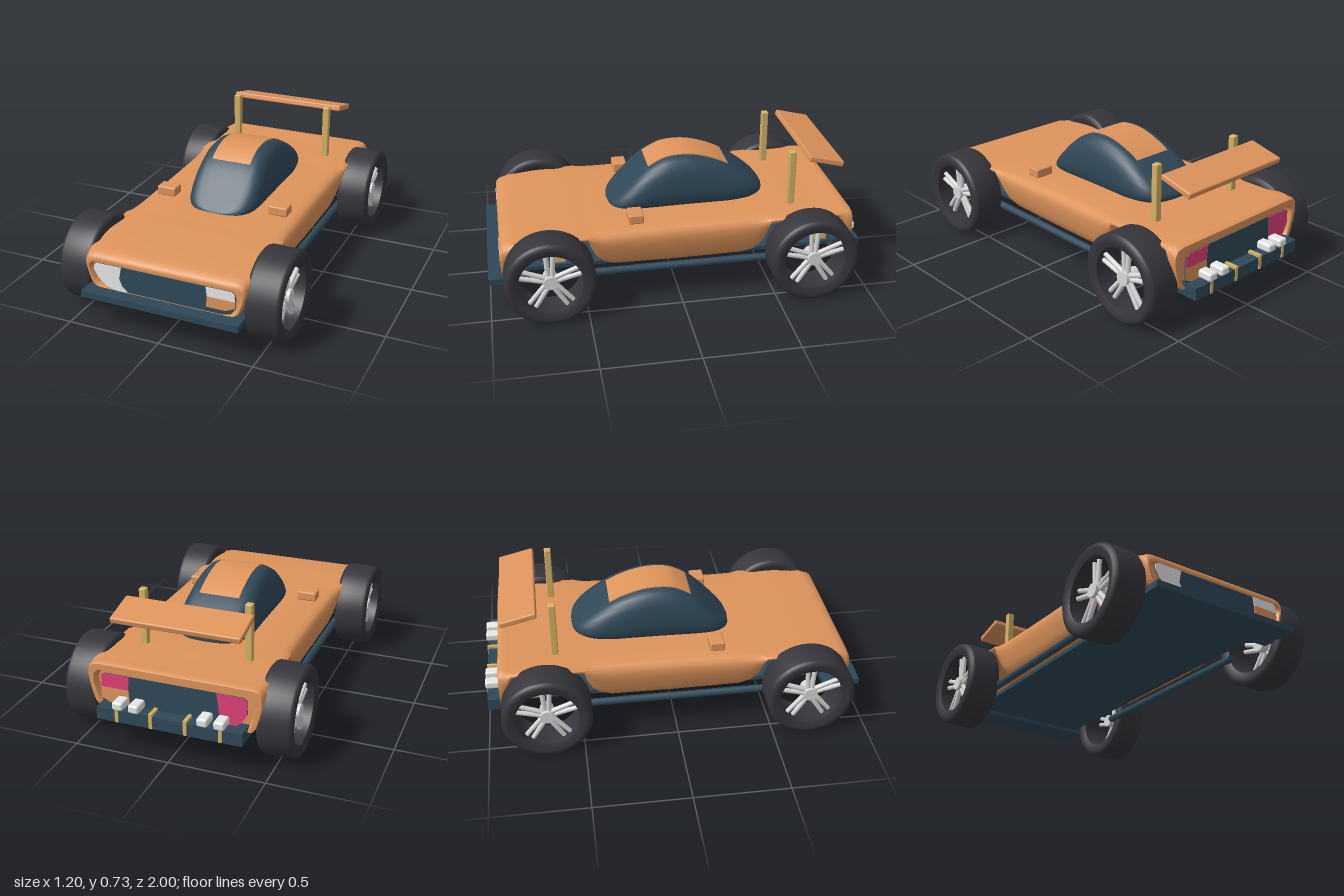
import * as THREE from 'three';
import { toCreasedNormals } from 'three/addons/utils/BufferGeometryUtils.js';
import { RoundedBoxGeometry } from 'three/addons/geometries/RoundedBoxGeometry.js';

const mat = (name, color) => new THREE.MeshStandardMaterial({ name, color });

export function createModel() {
  const car = new THREE.Group();
  car.name = 'raceCar';
  const orange = mat('orangePaint', 0xde945b);
  const navy = mat('navyPanel', 0x2f4858);
  const rubber = mat('tyreRubber', 0x36353b);
  const gold = mat('goldMetal', 0xd4b264);
  const silver = mat('silverMetal', 0xd8d8d8);
  const white = mat('headlightWhite', 0xececec);
  const pink = mat('tailLightPink', 0xde4079);
  orange.side = navy.side = THREE.DoubleSide;

  const add = (name, geo, material, x = 0, y = 0, z = 0, parent = car) => {
    const m = new THREE.Mesh(geo, material);
    m.name = name;
    m.position.set(x, y, z);
    parent.add(m);
    return m;
  };
  const box = (name, material, w, h, d, x, y, z) =>
    add(name, new THREE.BoxGeometry(w, h, d), material, x, y, z);
  const softBox = (name, material, w, h, d, r, x, y, z) =>
    add(name, new RoundedBoxGeometry(w, h, d, 3, r), material, x, y, z);

  // Skin closed rings (counter-clockwise from the front) ordered towards +z
  const loft = (rings, crease) => {
    const n = rings[0].length, idx = [];
    for (let i = 0; i + 1 < rings.length; i++)
      for (let j = 0; j < n; j++) {
        const a = i * n + j, b = i * n + (j + 1) % n;
        idx.push(a, b, b + n, a, b + n, a + n);
      }
    const g = new THREE.BufferGeometry();
    g.setAttribute('position', new THREE.Float32BufferAttribute(rings.flat(2), 3));
    g.setIndex(idx);
    return toCreasedNormals(g, crease);
  };
  // Ring from a right-hand profile of [x, y] fractions, mirrored to the other side
  const ring = (half, w, bottom, top, z) => {
    const all = [...half, ...half.slice(1, -1).reverse().map(([x, y]) => [-x, y])];
    return all.map(([x, y]) => [x * w, bottom + y * (top - bottom), z]);
  };

  // Body shell: underside lifted over the wheels, lipped recess at each end
  const bodyHalf = [[0, 0], [0.83, 0], [0.89, 0.03], [0.93, 0.12], [0.955, 0.26], [0.98, 0.46],
    [1, 0.66], [1, 0.8], [0.985, 0.9], [0.95, 0.97], [0.88, 1], [0.45, 1], [0, 1]];
  const stations = [ // z, half width, bottom, top
    [-0.92, 0.45, 0.2, 0.428], [-0.91, 0.455, 0.2, 0.434], [-0.885, 0.455, 0.22, 0.435], [-0.87, 0.455, 0.29, 0.434],
    [-0.85, 0.45, 0.375, 0.433], [-0.68, 0.45, 0.385, 0.43], [-0.48, 0.45, 0.375, 0.427],
    [-0.465, 0.449, 0.32, 0.426], [-0.44, 0.447, 0.265, 0.426], [-0.4, 0.444, 0.228, 0.425],
    [-0.34, 0.442, 0.21, 0.424], [0, 0.44, 0.205, 0.418], [0.34, 0.442, 0.21, 0.411],
    [0.4, 0.444, 0.228, 0.41], [0.44, 0.445, 0.265, 0.409], [0.465, 0.447, 0.32, 0.408],
    [0.48, 0.448, 0.365, 0.408], [0.68, 0.443, 0.37, 0.402], [0.85, 0.437, 0.355, 0.392],
    [0.87, 0.436, 0.29, 0.39], [0.885, 0.435, 0.22, 0.387], [0.91, 0.432, 0.2, 0.381],
    [0.925, 0.428, 0.2, 0.369], [0.932, 0.42, 0.2, 0.354]];
  const rings = stations.map(([z, w, b, t]) => ring(bodyHalf, w, b, t, z));
  rings.unshift(ring(bodyHalf, 0.001, 0.29, 0.291, -0.89), ring(bodyHalf, 0.41, 0.207, 0.388, -0.89),
    ring(bodyHalf, 0.425, 0.205, 0.398, -0.92));
  rings.push(ring(bodyHalf, 0.41, 0.204, 0.34, 0.93), ring(bodyHalf, 0.395, 0.206, 0.336, 0.9),
    ring(bodyHalf, 0.001, 0.27, 0.271, 0.9));
  add('bodyShell', loft(rings, 0.7), orange);

  // Cabin dome
  const cabinLine = new THREE.SplineCurve([[-0.52, 0.455], [-0.48, 0.492], [-0.4, 0.552], [-0.3, 0.614],
    [-0.2, 0.656], [-0.1, 0.678], [0, 0.675], [0.07, 0.651], [0.15, 0.598], [0.25, 0.5], [0.34, 0.411]]
    .map(p => new THREE.Vector2(...p)));
  const cabinHalf = [[0, 0], [0.88, 0], [0.95, 0.1], [0.99, 0.23], [1, 0.36], [0.97, 0.58], [0.92, 0.74],
    [0.85, 0.86], [0.76, 0.94], [0.64, 0.985], [0.4, 0.997], [0, 1]];
  const cabinRings = cabinLine.getPoints(60).map(p => {
    const u = Math.min(1, Math.abs(p.x + 0.09) / 0.43);
    const w = 0.203 * Math.pow(1 - u ** 6, 0.4) + 0.001;
    return ring(cabinHalf, w, 0.402 + Math.max(0, -p.x - 0.3) * 0.15, p.y, p.x);
  });
  add('cabin', loft(cabinRings, 1), navy);

  // Roof panel following the cabin line
  const roofHalf = [[0, 0], [1, 0], [1, 1], [0, 1]];
  const roofRings = cabinLine.getPoints(120).filter(p => p.x > -0.322 && p.x < 0.127)
    .map(p => ring(roofHalf, 0.11, p.y - 0.004, p.y + 0.003, p.x));
  add('roofPanel', loft(roofRings, 0.6), orange);

  // End panels and lamps as thin plates
  const plate = (name, pts, material, z, depth = 0.005) => {
    const shape = new THREE.Shape(pts.map(p => new THREE.Vector2(...p)));
    add(name, new THREE.ExtrudeGeometry(shape, { depth, bevelEnabled: false }), material, 0, 0, z);
  };
  const flip = pts => pts.map(([x, y]) => [-x, y]);
  for (const [end, top, z, dir, lamp] of [['front', 0.334, 0.926, 1, white], ['rear', 0.385, -0.921, -1, pink]]) {
    const rim = [[0.25, 0.201], [0.31, 0.218], [0.355, 0.255], [0.381, 0.3], [0.378, top - 0.01], [0.36, top]];
    const corner = [[0.3, 0.201], [0.355, 0.212], [0.382, 0.245], [0.384, 0.3], ...rim.slice(4)];
    const mid = top - (dir > 0 ? 0.048 : 0.072);
    const zl = z + dir * 0.004;
    plate(end + 'Panel', [...corner, ...flip(rim).reverse()], navy, z);
    plate(end + 'LampRight', flip([[0.24, 0.27], [0.225, 0.23], [0.195, 0.203], ...rim, [0.227, top]]), lamp, zl);
    plate(end + 'LampLeft', [[0.235, mid], [0.381, mid], [0.378, top - 0.01], [0.36, top], [0.23, top]], lamp, zl);
    plate(end + 'LampSurround', [[0.23, 0.228], [0.33, 0.228], [0.381, 0.25], [0.381, mid], [0.235, mid]], orange, zl);
  }

  // Floor, splitter, diffuser
  box('floor', navy, 0.68, 0.02, 1.75, 0, 0.196, 0);
  box('frontSplitter', navy, 0.845, 0.033, 0.2, 0, 0.182, 0.9);
  box('rearDiffuser', navy, 0.76, 0.065, 0.15, 0, 0.198, -0.915);
  for (const x of [-0.27, -0.09, 0.09, 0.27])
    box('diffuserStrake', gold, 0.018, 0.078, 0.075, x, 0.206, -0.957);

  // Rear wing
  const wing = softBox('rearWing', orange, 0.67, 0.032, 0.194, 0.008, 0, 0.678, -0.795);
  wing.rotation.x = -0.24;

  const tyreProfile = [[0.165, -0.08], [0.2, -0.093], [0.215, -0.091], [0.229, -0.081], [0.2325, -0.07],
    [0.2325, 0.07], [0.229, 0.081], [0.215, 0.091], [0.2, 0.093], [0.165, 0.08], [0.165, -0.08]]
    .map(p => new THREE.Vector2(...p));
  const tyreGeo = toCreasedNormals(new THREE.LatheGeometry(tyreProfile, 48), 0.7).rotateZ(-Math.PI / 2);

  for (const s of [-1, 1]) {
    const skirt = add('sideSkirt', new THREE.CylinderGeometry(0.02, 0.02, 1.1, 12), navy, s * 0.415, 0.186, 0);
    skirt.rotation.x = Math.PI / 2;
    softBox('wingPost', gold, 0.038, 0.33, 0.037, 0.006, s * 0.281, 0.565, -0.622);
    softBox('mirror', orange, 0.107, 0.05, 0.077, 0.008, s * 0.323, 0.448, 0.224);
    for (const x of [0.178, 0.264])
      softBox('exhaust', white, 0.056, 0.044, 0.09, 0.012, s * x, 0.254, -0.955);

    // Wheels with paired spokes
    for (const z of [0.69, -0.685]) {
      const wheel = new THREE.Group();
      wheel.name = z > 0 ? 'frontWheel' : 'rearWheel';
      wheel.position.set(s * 0.506, 0.233, z);
      car.add(wheel);
      add('tyre', tyreGeo, rubber, 0, 0, 0, wheel);
      const hub = add('hub', new THREE.CylinderGeometry(0.036, 0.036, 0.09, 16), silver, s * 0.02, 0, 0, wheel);
      hub.rotation.z = Math.PI / 2;
      for (let i = 0; i < 5; i++) {
        const arm = new THREE.Group();
        arm.name = 'spokePair';
        arm.rotation.x = i * Math.PI * 2 / 5;
        wheel.add(arm);
        for (const k of [-1, 1]) {
          const spoke = add('spoke', new THREE.CylinderGeometry(0.012, 0.014, 0.15, 10), silver, s * 0.035, 0.095, k * 0.015, arm);
          spoke.rotation.x = k * 0.07;
        }
      }
      softBox('brakeCaliper', gold, 0.05, 0.062, 0.07, 0.01, s * 0.455, 0.325, z - 0.053);
    }
  }
  return car;
}
